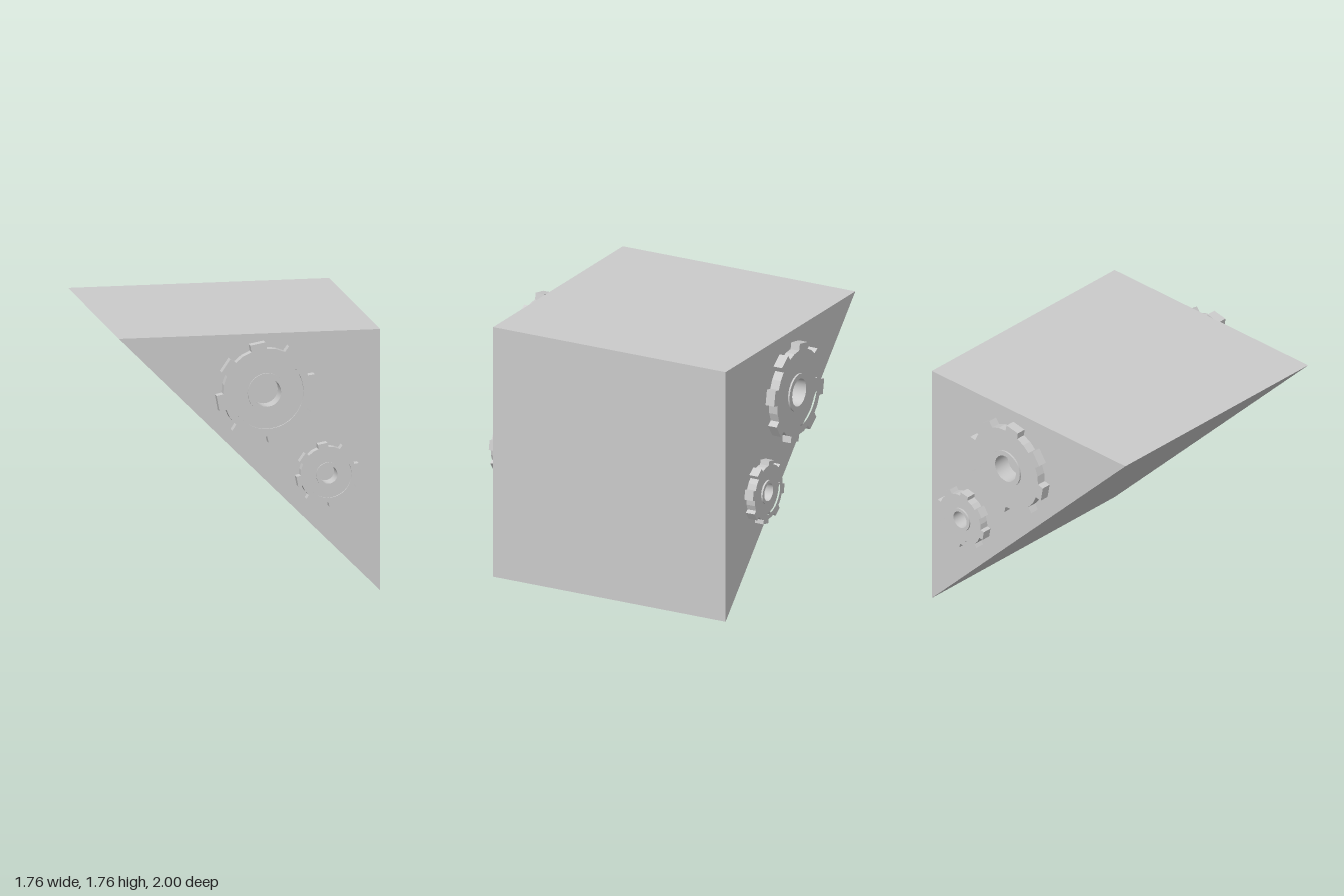
import * as THREE from 'three';
import { toCreasedNormals } from 'three/addons/utils/BufferGeometryUtils.js';

const material = new THREE.MeshStandardMaterial({ color: 0xcccccc });
const HALF = 0.88;   // half the size of the wedge
const DEPTH = 0.12;  // how far a gear stands out from the wedge
const BACK = 0.055;  // where the toothed rim begins
const TEETH = 8;

function mesh(name, geometry) {
  const m = new THREE.Mesh(geometry, material);
  m.name = name;
  return m;
}

// Toothed ring; turn = 1 or -1 mirrors the slant of the tooth phase
function rimGeometry(s, turn) {
  const points = [];
  const add = (deg, r) => {
    const a = THREE.MathUtils.degToRad(deg) * turn;
    points.push(new THREE.Vector2(Math.cos(a) * r * s, Math.sin(a) * r * s));
  };
  for (let i = 0; i < TEETH; i++) {
    const a = i * 360 / TEETH;
    add(a, 0.295);
    add(a + 1.7, 0.34);
    add(a + 19.3, 0.34);
    add(a + 21, 0.295);
    add(a + 33, 0.297);
  }
  const shape = new THREE.Shape(points);
  shape.holes.push(new THREE.Path().absarc(0, 0, 0.245 * s, 0, Math.PI * 2, true));
  const geometry = new THREE.ExtrudeGeometry(shape, {
    depth: DEPTH - BACK, bevelEnabled: false, curveSegments: 24,
  });
  return geometry.translate(0, 0, BACK);
}

// Hollow hub with the slightly sunken web around it
function hubGeometry(s) {
  const profile = [
    [0.13, 0], [0.13, BACK], [0.246, BACK], [0.246, 0.108],
    [0.13, 0.108], [0.13, DEPTH], [0.095, DEPTH], [0.095, 0],
  ].map(([r, h]) => new THREE.Vector2(r * s, h));
  const geometry = new THREE.LatheGeometry(profile, 24).rotateX(Math.PI / 2);
  return toCreasedNormals(geometry, 0.6);
}

function gear(name, s, turn) {
  const g = new THREE.Group();
  g.name = name;
  g.add(mesh('gearRim', rimGeometry(s, turn)), mesh('gearHub', hubGeometry(s)));
  return g;
}

export function createModel() {
  const model = new THREE.Group();
  model.name = 'wedgeWithGears';

  // Inverted triangular wedge
  const triangle = new THREE.Shape([
    new THREE.Vector2(HALF, 0),
    new THREE.Vector2(HALF, 2 * HALF),
    new THREE.Vector2(-HALF, 2 * HALF),
  ]);
  const wedge = new THREE.ExtrudeGeometry(triangle, { depth: 2 * HALF, bevelEnabled: false });
  model.add(mesh('wedge', wedge.translate(0, 0, -HALF)));

  // A large and a small gear on the front and on the back
  for (const side of [1, -1]) {
    const where = side > 0 ? 'front' : 'back';
    for (const [size, s, x, y] of [['Large', 1, 0.097, 1.384], ['Small', 0.634, 0.51, 0.815]]) {
      const g = gear(`${where}${size}Gear`, s, side);
      g.position.set(x, y, side * HALF);
      if (side < 0) g.rotation.y = Math.PI;
      model.add(g);
    }
  }
  return model;
}
